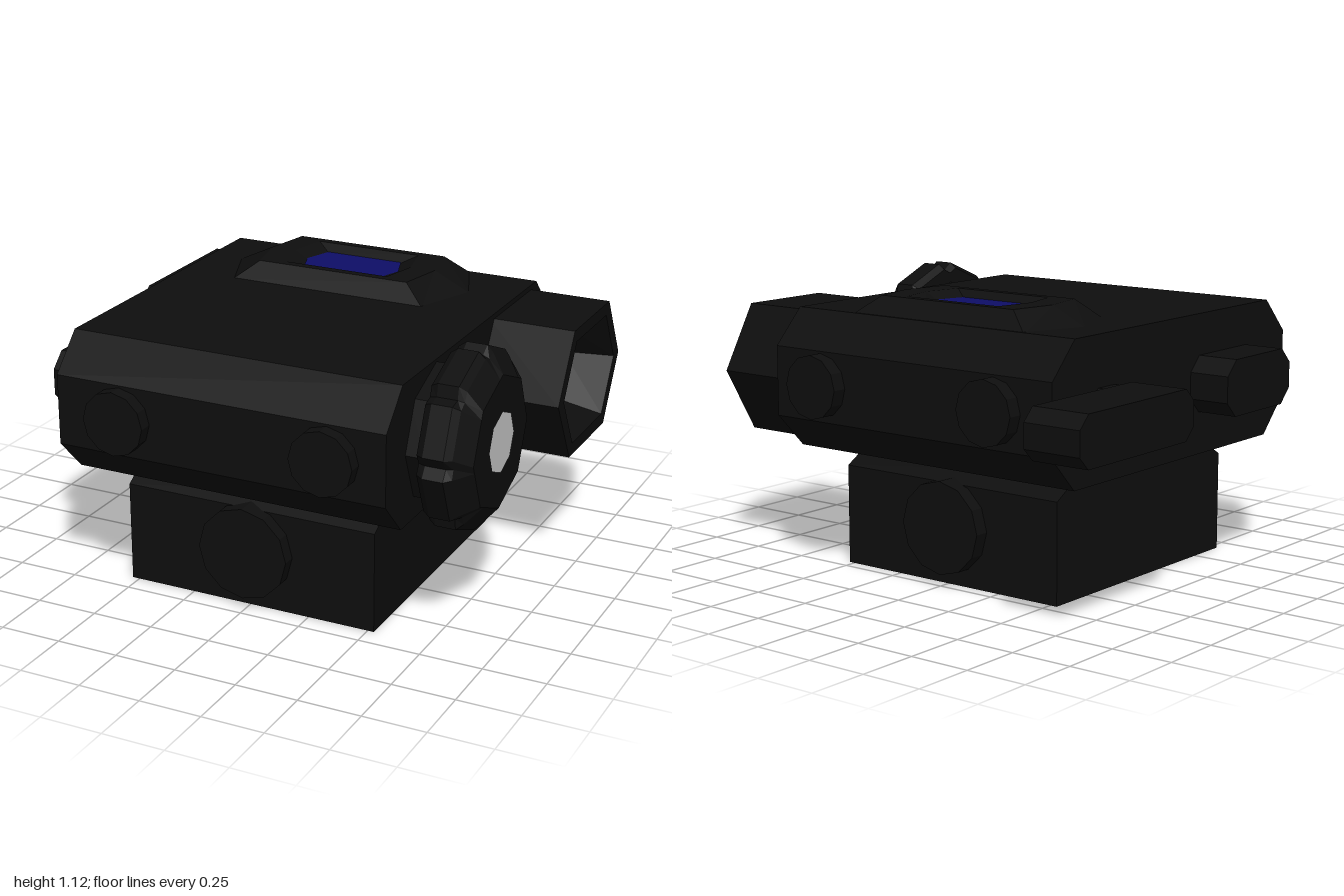
import * as THREE from 'three';

const black = new THREE.MeshStandardMaterial({ color: 0x0e0e0e, flatShading: true });
black.name = 'black casing';
const blue = new THREE.MeshStandardMaterial({ color: 0x0e0e68, flatShading: true });
blue.name = 'blue window';
const pale = new THREE.MeshStandardMaterial({ color: 0xcccccc, flatShading: true });
pale.name = 'pale lens';

export function createModel() {
  const model = new THREE.Group();
  model.name = 'opticalDevice';

  const add = (name, geometry, material = black) => {
    const mesh = new THREE.Mesh(geometry, material);
    mesh.name = name;
    model.add(mesh);
    return mesh;
  };

  // Prism along x from a [z, y] outline
  const prism = (pts, x0, x1) => {
    const shape = new THREE.Shape(pts.map(([z, y]) => new THREE.Vector2(-z, y)));
    return new THREE.ExtrudeGeometry(shape, { depth: x1 - x0, bevelEnabled: false })
      .rotateY(Math.PI / 2).translate(x0, 0, 0);
  };

  // Rectangle outline with cut corners
  const chamfered = (z0, z1, y0, y1, c) => [
    [z0 + c, y0], [z1 - c, y0], [z1, y0 + c], [z1, y1 - c],
    [z1 - c, y1], [z0 + c, y1], [z0, y1 - c], [z0, y0 + c],
  ];

  // Skin joining rings of points, closed at the last ring
  const loft = (rings, cap = true) => {
    const pos = [];
    const tri = (...p) => p.forEach((q) => pos.push(...q));
    for (let i = 0; i < rings.length - 1; i++) {
      const n = rings[i].length;
      for (let j = 0; j < n; j++) {
        const k = (j + 1) % n;
        tri(rings[i][j], rings[i][k], rings[i + 1][k]);
        tri(rings[i][j], rings[i + 1][k], rings[i + 1][j]);
      }
    }
    const last = rings[rings.length - 1];
    const centre = [0, 1, 2].map((a) => last.reduce((s, p) => s + p[a], 0) / last.length);
    if (cap) last.forEach((p, j) => tri(centre, p, last[(j + 1) % last.length]));
    const g = new THREE.BufferGeometry();
    g.setAttribute('position', new THREE.Float32BufferAttribute(pos, 3));
    g.computeVertexNormals();
    return g;
  };

  const hex = (w, t, h) => [[-t, h], [t, h], [w, 0], [t, -h], [-t, -h], [-w, 0]];
  const hexUp = (y, w, t, h) => hex(w, t, h).map(([u, v]) => [-0.033 + u, y, -0.305 + v]);
  const hexSide = (x, w, t, h) => hex(w, t, h).map(([u, v]) => [x, 0.77 + v, -0.305 + u]);

  // Main housing
  add('housing', prism([
    [0.755, 0.49], [0.89, 0.63], [0.89, 0.91], [0.755, 1.05],
    [-0.56, 1.05], [-0.695, 0.91], [-0.695, 0.63], [-0.56, 0.49],
  ], -0.69, 0.67));

  // Mounting base with sloped shoulders
  add('mountBase', prism([
    [0.665, 0], [0.665, 0.405], [0.51, 0.495],
    [-0.295, 0.495], [-0.45, 0.405], [-0.45, 0],
  ], -0.53, 0.525));

  // Round bosses on front and back
  const boss = (name, x, y, z0, z1, r, sides) => add(name,
    new THREE.CylinderGeometry(r, r, z1 - z0, sides).rotateX(Math.PI / 2)
      .translate(x, y, (z0 + z1) / 2));
  boss('baseBolt', -0.005, 0.235, -0.51, 0.72, 0.187, 12);
  for (const x of [-0.42, 0.437]) boss('housingBolt', x, 0.775, -0.755, 0.945, 0.127, 12);

  // Raised top plate with sunken window
  add('topPlate', loft([
    hexUp(1.045, 0.52, 0.42, 0.25), hexUp(1.12, 0.365, 0.325, 0.19),
    hexUp(1.12, 0.26, 0.225, 0.155), hexUp(1.09, 0.205, 0.165, 0.115),
  ]));
  add('topWindow', loft([hexUp(1.093, 0.205, 0.165, 0.115)]), blue);

  // Six-sided eyepiece with tapered hollow
  add('eyepiece', loft([
    hexSide(0.65, 0.35, 0.2, 0.26), hexSide(1, 0.35, 0.2, 0.26),
    hexSide(1, 0.29, 0.17, 0.21), hexSide(0.8, 0.25, 0.15, 0.165),
  ]));

  // Notched eight-sided wheel on a collar
  const wheelRing = (x, r, notch) => {
    const ring = [];
    for (let i = 0; i < 8; i++) {
      for (const s of [-1, 0, 1]) {
        const a = i * Math.PI / 4 + s * 0.115;
        const edge = r * Math.cos(Math.PI / 8) / Math.cos(Math.PI / 8 - 0.115);
        const d = s ? edge : r * notch;
        ring.push([x, 0.77 + d * Math.cos(a), 0.455 + d * Math.sin(a)]);
      }
    }
    return ring;
  };
  add('wheelCollar', new THREE.CylinderGeometry(0.27, 0.27, 0.1, 8)
    .rotateZ(Math.PI / 2).translate(0.7, 0.77, 0.455));
  add('wheel', loft([
    wheelRing(0.74, 0.2, 1), wheelRing(0.74, 0.345, 0.9), wheelRing(0.77, 0.367, 0.88),
    wheelRing(0.85, 0.367, 0.88), wheelRing(0.875, 0.34, 0.92), wheelRing(0.93, 0.262, 1),
  ]));
  add('wheelLens', new THREE.CircleGeometry(0.12, 8).rotateY(Math.PI / 2)
    .translate(0.933, 0.77, 0.455), pale);

  // Lever with its stem, and the button beside it
  add('lever', prism(chamfered(-0.95, -0.25, 0.67, 0.865, 0.05), -1, -0.76));
  add('leverStem', prism(chamfered(-0.455, -0.27, 0.685, 0.85, 0.04), -0.77, -0.68));
  add('sideButton', prism(chamfered(0.2, 0.66, 0.66, 0.885, 0.06), -0.86, -0.68));

  return model;
}
